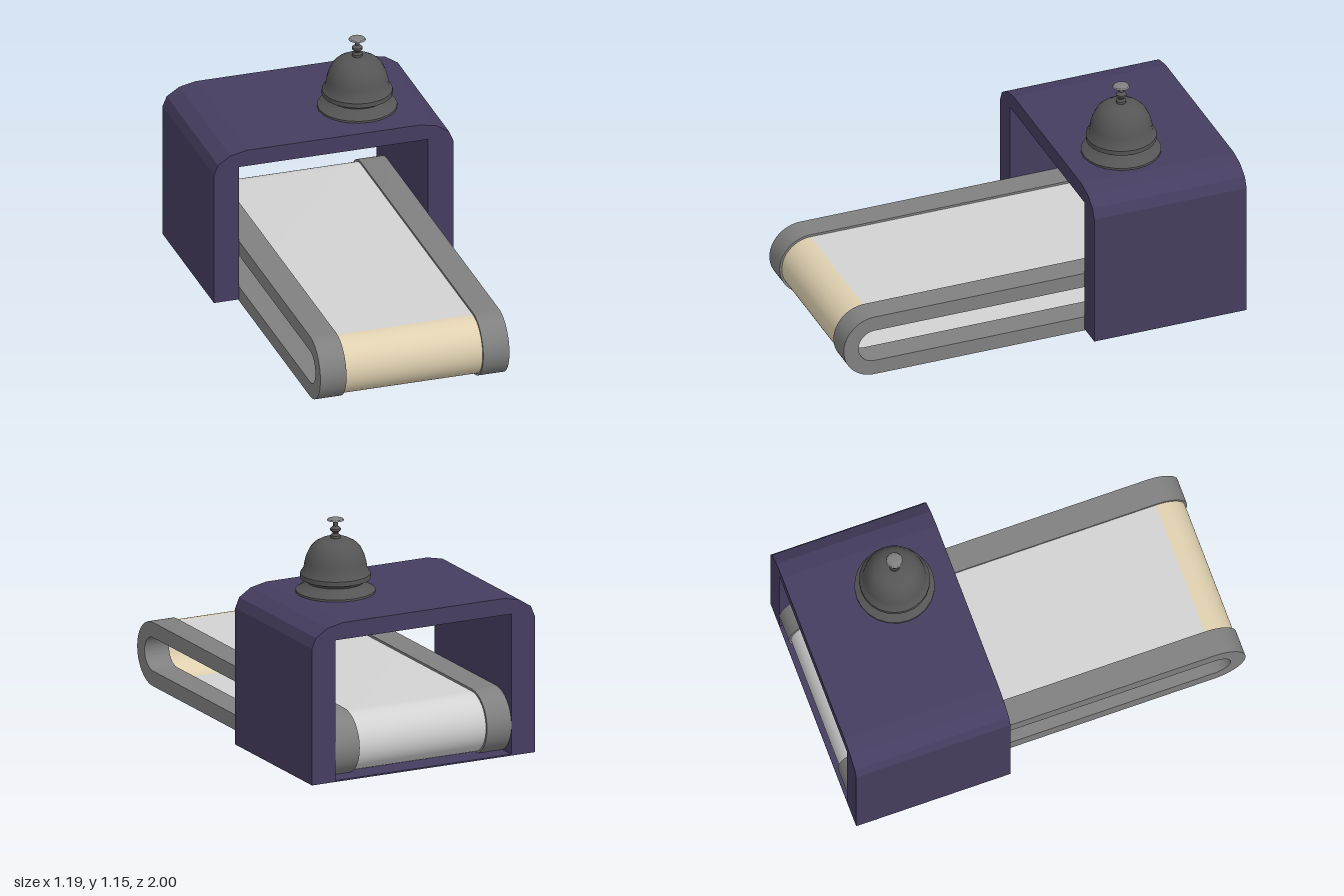
import * as THREE from 'three';
import { toCreasedNormals } from 'three/addons/utils/BufferGeometryUtils.js';

const material = (name, color) => Object.assign(new THREE.MeshStandardMaterial({ color }), { name });

const AXLE_Y = 0.157; // height of the belt's centre line
const AXLE_Z = 0.843; // distance of the two end turns from the middle

// Rounded loop outline drawn in (z, y)
function stadium(path, r) {
  path.moveTo(-AXLE_Z, AXLE_Y - r);
  path.lineTo(AXLE_Z, AXLE_Y - r);
  path.absarc(AXLE_Z, AXLE_Y, r, -Math.PI / 2, Math.PI / 2, false);
  path.lineTo(-AXLE_Z, AXLE_Y + r);
  path.absarc(-AXLE_Z, AXLE_Y, r, Math.PI / 2, Math.PI * 1.5, false);
  return path;
}

// Extrude a (z, y) outline across x, centred on x = 0
function acrossX(shape, width) {
  const g = new THREE.ExtrudeGeometry(shape, { depth: width, bevelEnabled: false, curveSegments: 20 });
  g.translate(0, 0, -width / 2).rotateY(-Math.PI / 2);
  return toCreasedNormals(g, 0.6);
}

export function createModel() {
  const group = new THREE.Group();
  const purple = material('housing purple', 0x453d60);
  const railGrey = material('rail grey', 0x808080);
  const beltGrey = material('belt light grey', 0xd2d2d2);
  const tan = material('belt tan', 0xdfd1b0);
  const bellGrey = material('bell dark grey', 0x555555);

  const add = (name, geometry, mat, x = 0, y = 0, z = 0) => {
    const mesh = new THREE.Mesh(geometry, mat);
    mesh.name = name;
    mesh.position.set(x, y, z);
    group.add(mesh);
    return mesh;
  };

  // Housing: an arch with chamfered shoulders, open front and back
  const shoulder = [[0.595, 0.008], [0.595, 0.68], [0.574, 0.73], [0.512, 0.77], [0.43, 0.787]];
  const inner = [[0.47, 0.705], [0.47, 0.008]];
  const right = [...shoulder];
  const left = shoulder.map(([x, y]) => [-x, y]).reverse();
  const outline = [...right, ...left, [-0.47, 0.008], [-0.47, 0.705], ...inner];
  const arch = new THREE.Shape(outline.map(([x, y]) => new THREE.Vector2(x, y)));
  const archGeo = new THREE.ExtrudeGeometry(arch, { depth: 0.775, bevelEnabled: false });
  add('housing', archGeo, purple, 0, 0, -1);
  add('housingFloor', new THREE.BoxGeometry(0.94, 0.007, 0.775), purple, 0, 0.0115, -0.6125);

  // Side rails: slotted loops
  const rail = stadium(new THREE.Shape(), 0.157);
  rail.holes.push(stadium(new THREE.Path(), 0.082));
  const railGeo = acrossX(rail, 0.13);
  for (const side of [-1, 1]) add(side > 0 ? 'leftRail' : 'rightRail', railGeo, railGrey, side * 0.405);

  // Belt: thin hollow band, grey except for the tan front turn
  const R = 0.146, r = 0.14, H = Math.PI / 2;
  const main = new THREE.Shape();
  main.moveTo(AXLE_Z, AXLE_Y + R);
  main.lineTo(-AXLE_Z, AXLE_Y + R);
  main.absarc(-AXLE_Z, AXLE_Y, R, H, 3 * H, false);
  main.lineTo(AXLE_Z, AXLE_Y - R);
  main.lineTo(AXLE_Z, AXLE_Y - r);
  main.lineTo(-AXLE_Z, AXLE_Y - r);
  main.absarc(-AXLE_Z, AXLE_Y, r, 3 * H, H, true);
  main.lineTo(AXLE_Z, AXLE_Y + r);
  add('belt', acrossX(main, 0.68), beltGrey);

  const turn = new THREE.Shape();
  turn.absarc(AXLE_Z, AXLE_Y, R, -H, H, false);
  turn.absarc(AXLE_Z, AXLE_Y, r, H, -H, true);
  add('beltFrontTurn', acrossX(turn, 0.68), tan);

  // Service bell on top of the housing
  const lathe = (points) => toCreasedNormals(
    new THREE.LatheGeometry(points.map(([x, y]) => new THREE.Vector2(x, y)), 24), 0.6);
  const bell = (name, points, mat) => add(name, lathe(points), mat, 0.213, 0, -0.515);
  bell('bellBase', [[0, 0.784], [0.19, 0.784], [0.19, 0.797], [0.155, 0.817], [0.148, 0.822],
    [0.136, 0.835], [0.152, 0.856], [0, 0.856]], bellGrey);
  bell('bellDome', [[0, 0.855], [0.168, 0.855], [0.168, 0.878], [0.152, 0.9], [0.146, 0.935], [0.138, 0.965],
    [0.118, 1.005], [0.098, 1.025], [0.066, 1.043], [0.025, 1.05], [0, 1.05]], bellGrey);
  bell('bellStem', [[0.024, 1.045], [0.024, 1.062], [0.014, 1.07], [0.014, 1.076], [0.025, 1.086],
    [0.025, 1.096], [0.011, 1.108], [0.011, 1.134]], bellGrey);
  bell('bellButton', [[0, 1.131], [0.02, 1.131], [0.041, 1.136], [0.036, 1.142], [0.018, 1.147], [0, 1.148]], railGrey);

  return group;
}
